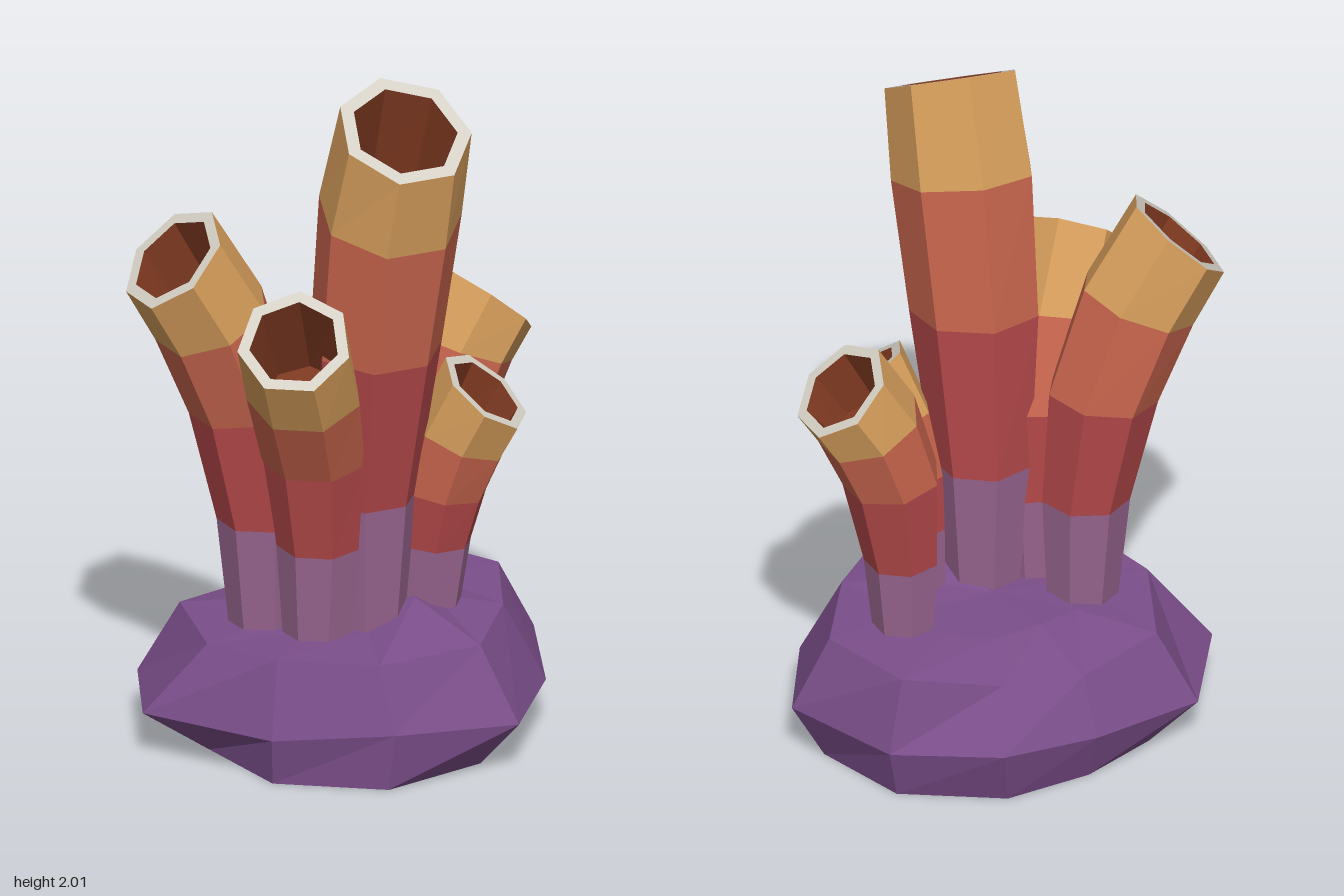
import * as THREE from 'three';

const mat = (name, color, extra = {}) => {
  const m = new THREE.MeshStandardMaterial({ color, flatShading: true, ...extra });
  m.name = name;
  return m;
};

const SIDES = 7;
const UP = new THREE.Vector3(0, 1, 0);

// Skin of triangles between two closed loops, facing outward when the loops run counter-clockwise going up
function band(lower, upper) {
  const out = [];
  lower.forEach((a, j) => {
    const k = (j + 1) % lower.length;
    out.push(a, lower[k], upper[k], a, upper[k], upper[j]);
  });
  return out;
}

// Fan that closes a loop at a centre point
function fan(loop, centre) {
  return loop.flatMap((a, j) => [a, loop[(j + 1) % loop.length], centre]);
}

function meshOf(name, points, material) {
  const geo = new THREE.BufferGeometry().setFromPoints(points);
  geo.computeVertexNormals();
  const mesh = new THREE.Mesh(geo, material);
  mesh.name = name;
  return mesh;
}

// Heptagonal loop around a centre, with one corner on the side away from the lean
function ring(centre, radius, normal, lean) {
  const n = normal.clone().normalize();
  const u = lean.clone().negate();
  u.addScaledVector(n, -u.dot(n)).normalize();
  const v = n.clone().cross(u);
  return Array.from({ length: SIDES }, (_, j) => {
    const a = (j / SIDES) * Math.PI * 2;
    return centre.clone().addScaledVector(u, radius * Math.cos(a)).addScaledVector(v, radius * Math.sin(a));
  });
}

// Hollow tube: sections are [x, y, z, radius] from base to mouth
function tube(name, sections, mouth, mats) {
  const group = new THREE.Group();
  group.name = name;
  const axis = new THREE.Vector3(...mouth).normalize();
  const lean = new THREE.Vector3(axis.x, 0, axis.z).normalize();
  const tilt = [0, 0.05, 0.2, 0.55, 1];
  const centres = sections.map(s => new THREE.Vector3(s[0], s[1], s[2]));
  const loop = (i, scale) =>
    ring(centres[i], sections[i][3] * scale, UP.clone().lerp(axis, tilt[i]), lean);
  const outer = sections.map((_, i) => loop(i, 1));

  // Coloured bands up the outside
  ['baseBand', 'lowerBand', 'upperBand', 'tipBand'].forEach((part, i) =>
    group.add(meshOf(part, band(outer[i], outer[i + 1]), mats.bands[i])));

  // Pale lip and dark hollow
  const lip = loop(4, 0.79);
  const floor = loop(3, 0.66);
  group.add(meshOf('lip', band(outer[4], lip), mats.lip));
  group.add(meshOf('hollow', [...band(lip, floor), ...fan(floor, centres[3])], mats.hollow));
  return group;
}

// Faceted rock built from loops, counter-clockwise seen from above
function rock(material) {
  const toLoop = pts => pts.map(p => new THREE.Vector3(...p)).reverse();
  const foot = toLoop([
    [-0.44, 0, -0.07], [-0.32, 0, -0.29], [-0.13, 0, -0.47], [0.18, 0, -0.52], [0.43, 0, -0.36],
    [0.5, 0, -0.03], [0.42, 0, 0.26], [0.18, 0, 0.48], [-0.15, 0, 0.46], [-0.35, 0, 0.22]]);
  const girth = toLoop([
    [-0.575, 0.13, -0.04], [-0.355, 0.15, -0.33], [-0.135, 0.17, -0.53], [0.19, 0.15, -0.56], [0.515, 0.16, -0.395],
    [0.58, 0.14, -0.04], [0.535, 0.15, 0.33], [0.2, 0.17, 0.495], [-0.15, 0.14, 0.49], [-0.53, 0.14, 0.31]]);
  const shoulder = toLoop([
    [-0.455, 0.34, -0.04], [-0.3, 0.31, -0.27], [-0.1, 0.33, -0.41], [0.17, 0.365, -0.5], [0.42, 0.37, -0.34],
    [0.46, 0.37, -0.03], [0.42, 0.36, 0.26], [0.15, 0.355, 0.43], [-0.14, 0.36, 0.42], [-0.35, 0.345, 0.28]]);
  const crown = toLoop([
    [-0.22, 0.37, -0.02], [-0.14, 0.38, -0.14], [-0.04, 0.37, -0.22], [0.1, 0.38, -0.26], [0.24, 0.38, -0.18],
    [0.26, 0.4, -0.02], [0.22, 0.43, 0.09], [0.1, 0.37, 0.22], [-0.06, 0.37, 0.22], [-0.17, 0.37, 0.14]]);
  return meshOf('rockBase', [
    ...band(foot, girth), ...band(girth, shoulder), ...band(shoulder, crown),
    ...fan(crown, new THREE.Vector3(0.03, 0.38, 0)),
    ...fan([...foot].reverse(), new THREE.Vector3(0, 0, 0)),
  ], material);
}

export function createModel() {
  const model = new THREE.Group();
  model.name = 'tubeCluster';

  const mats = {
    bands: [
      mat('lavender', 0x99658f),
      mat('crimson', 0xb4484a),
      mat('coral', 0xc8654d),
      mat('ochre', 0xd59d5b),
    ],
    lip: mat('paleLip', 0xd6d1c6),
    hollow: mat('darkHollow', 0x7c3820, { side: THREE.DoubleSide }),
  };

  model.add(rock(mat('purpleRock', 0x7b4e8a)));

  // Tubes: name, sections, mouth direction
  const tubes = [
    ['tallTube', [
      [0.085, 0.33, 0.11, 0.108], [0.085, 0.75, 0.112, 0.145], [0.115, 1.22, 0.15, 0.19],
      [0.158, 1.63, 0.185, 0.208], [0.205, 1.905, 0.24, 0.195]], [0.3, 1, 0.53]],
    ['frontTube', [
      [-0.045, 0.33, 0.2, 0.097], [-0.04, 0.63, 0.2, 0.122], [-0.05, 0.9, 0.225, 0.15],
      [-0.07, 1.135, 0.327, 0.165], [-0.09, 1.332, 0.438, 0.163]], [-0.05, 1, 0.9]],
    ['rightTube', [
      [-0.2, 0.33, 0.11, 0.102], [-0.21, 0.67, 0.11, 0.128], [-0.257, 1.01, 0.12, 0.16],
      [-0.345, 1.29, 0.172, 0.172], [-0.45, 1.493, 0.23, 0.17]], [-0.57, 0.73, 0.38]],
    ['smallLeftTube', [
      [0.25, 0.33, 0, 0.087], [0.27, 0.57, 0, 0.104], [0.295, 0.73, 0.005, 0.124],
      [0.345, 0.895, 0.01, 0.141], [0.415, 1.035, 0.018, 0.147]], [0.62, 0.78, 0.07]],
    ['backTube', [
      [0.233, 0.33, -0.21, 0.088], [0.24, 0.59, -0.215, 0.108], [0.264, 0.86, -0.235, 0.141],
      [0.32, 1.05, -0.275, 0.154], [0.39, 1.182, -0.32, 0.155]], [0.5, 0.75, -0.43]],
  ];
  tubes.forEach(([name, sections, mouth]) => model.add(tube(name, sections, mouth, mats)));

  return model;
}
